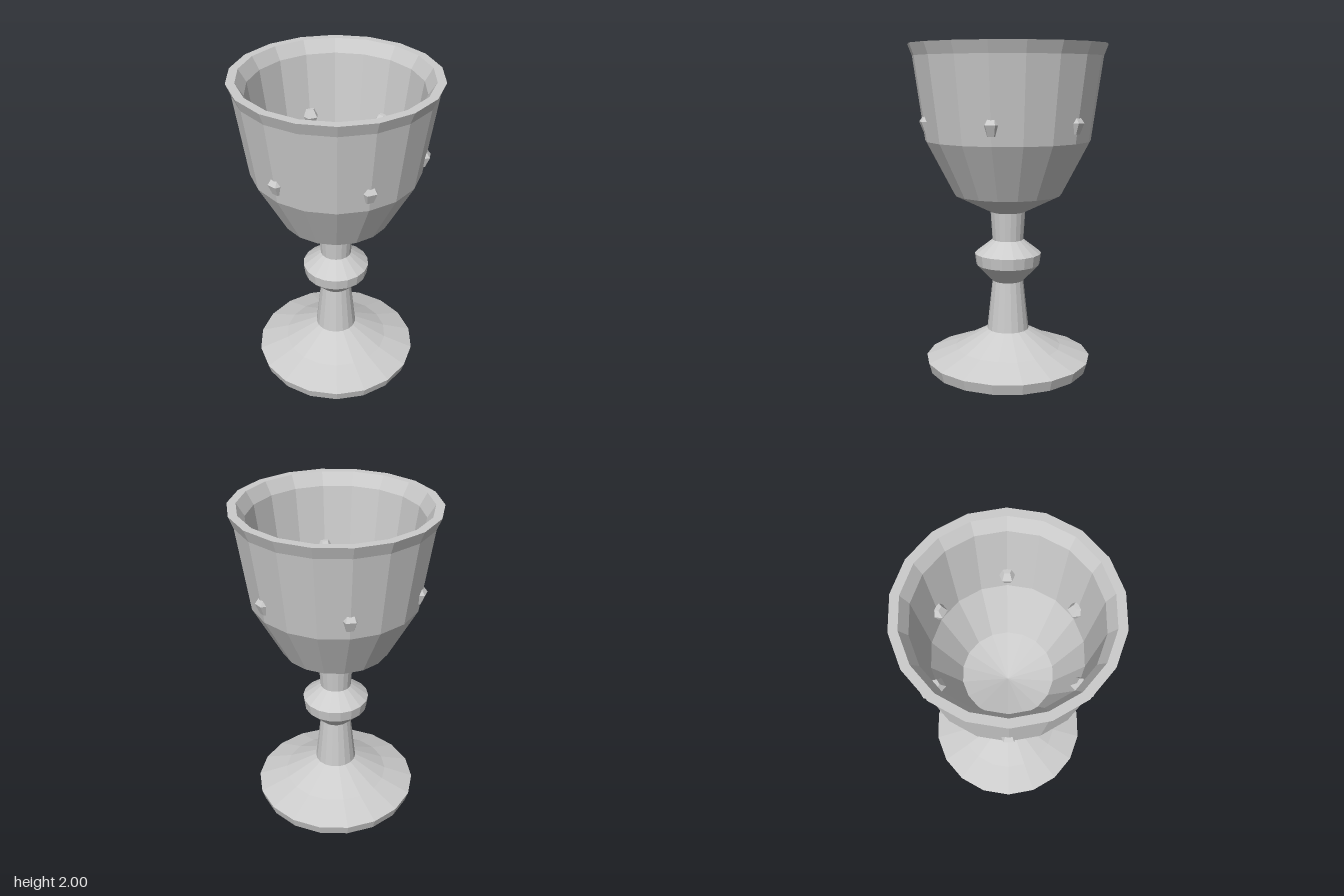
import * as THREE from 'three';

const SIDES = 18;
const silver = new THREE.MeshStandardMaterial({ color: 0xcccccc, flatShading: true });
silver.name = 'silver';

// Faceted turned part from a profile of [radius, height] points, listed bottom to top
function turned(name, profile, sides = SIDES) {
  const points = profile.map(([r, y]) => new THREE.Vector2(r, y));
  const mesh = new THREE.Mesh(new THREE.LatheGeometry(points, sides, Math.PI / 2), silver);
  mesh.name = name;
  return mesh;
}

export function createModel() {
  const model = new THREE.Group();
  model.name = 'goblet';

  // Foot with a flared top
  model.add(turned('foot', [[0, 0], [0.495, 0], [0.514, 0.066], [0.33, 0.135], [0.13, 0.245]]));

  // Stem with a knob in the middle
  model.add(turned('stem', [
    [0.13, 0.245], [0.096, 0.555], [0.197, 0.66], [0.206, 0.73], [0.096, 0.815], [0.107, 0.99],
  ]));

  // Cup: outer wall, flat rim, inner wall and dished floor
  model.add(turned('cup', [
    [0.107, 0.99], [0.33, 1.1], [0.503, 1.43], [0.573, 1.93], [0.6, 2],
    [0.55, 2], [0.505, 1.925], [0.437, 1.44], [0.272, 1.13], [0, 1.05],
  ]));

  // Six faceted studs set through the cup wall
  const studs = new THREE.Group();
  studs.name = 'studs';
  for (let i = 0; i < 6; i++) {
    const pivot = new THREE.Group();
    pivot.name = 'studMount';
    pivot.rotation.y = (i * Math.PI) / 3;
    const stud = turned('stud', [[0, -0.053], [0.052, -0.053], [0.08, 0.01], [0.046, 0.053], [0, 0.053]], 6);
    stud.geometry.rotateY(Math.PI / 6); // flat facet faces outwards
    stud.scale.z = 0.7;
    stud.position.set(0.472, 1.54, 0);
    pivot.add(stud);
    studs.add(pivot);
  }
  model.add(studs);

  return model;
}
